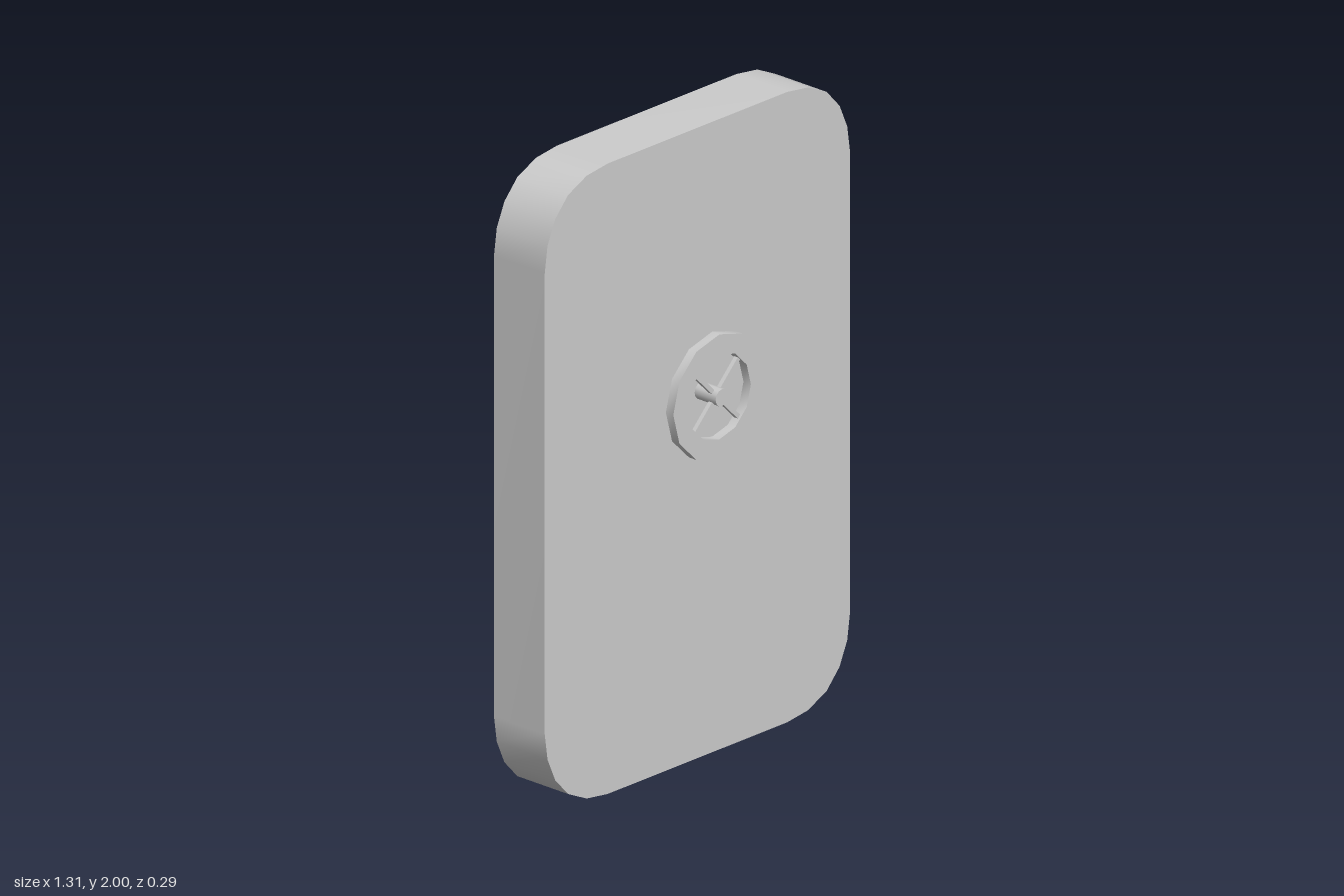
import * as THREE from 'three';
import { toCreasedNormals } from 'three/addons/utils/BufferGeometryUtils.js';

const FRONT = 0.06, BACK = -0.145;
const WHEEL = { x: 0.015, y: 1.163, z: 0.12, depth: 0.03, outer: 0.198, inner: 0.135 };

// Rounded outline, counter-clockwise, from one corner mirrored to all four
function doorOutline() {
  const corner = [[0.655, 0.73], [0.643, 0.815], [0.61, 0.89], [0.555, 0.95], [0.475, 0.988], [0.385, 1]];
  const back = [...corner].reverse();
  const place = (pts, sx, sy) => pts.map(([x, y]) => new THREE.Vector2(sx * x, 1 + sy * y));
  return [...place(corner, 1, 1), ...place(back, -1, 1), ...place(corner, -1, -1), ...place(back, 1, -1)];
}

// Open wall swept from the front edge to the back rim
function wallGeometry(outline) {
  const n = outline.length, pos = [], idx = [];
  for (const z of [FRONT, BACK]) for (const p of outline) pos.push(p.x, p.y, z);
  for (let i = 0; i < n; i++) {
    const j = (i + 1) % n;
    idx.push(i, n + i, n + j, i, n + j, j);
  }
  const g = new THREE.BufferGeometry();
  g.setAttribute('position', new THREE.Float32BufferAttribute(pos, 3));
  g.setIndex(idx);
  g.computeVertexNormals();
  return g;
}

const ringPoints = (r, n) => Array.from({ length: n }, (_, i) => {
  const a = (i / n) * Math.PI * 2;
  return new THREE.Vector2(Math.cos(a) * r, Math.sin(a) * r);
});

export function createModel() {
  const model = new THREE.Group();
  const solid = new THREE.MeshStandardMaterial({ color: 0xcccccc });
  const thin = new THREE.MeshStandardMaterial({ color: 0xcccccc, side: THREE.DoubleSide });
  const add = (parent, name, geometry, material = solid) => {
    const mesh = new THREE.Mesh(geometry, material);
    mesh.name = name;
    parent.add(mesh);
    return mesh;
  };

  // Hollow door: front panel and surrounding wall, open at the back
  const door = new THREE.Group();
  door.name = 'door';
  model.add(door);
  const outline = doorOutline();
  add(door, 'frontPanel', new THREE.ShapeGeometry(new THREE.Shape(outline)), thin).position.z = FRONT;
  add(door, 'sideWall', wallGeometry(outline), thin);

  // Hand wheel
  const wheel = new THREE.Group();
  wheel.name = 'handWheel';
  wheel.position.set(WHEEL.x, WHEEL.y, WHEEL.z);
  model.add(wheel);

  // Twelve-sided flat rim
  const rim = new THREE.Shape(ringPoints(WHEEL.outer, 12));
  rim.holes.push(new THREE.Path(ringPoints(WHEEL.inner, 12)));
  const rimGeometry = new THREE.ExtrudeGeometry(rim, { depth: WHEEL.depth, bevelEnabled: false });
  rimGeometry.translate(0, 0, -WHEEL.depth / 2);
  add(wheel, 'wheelRim', toCreasedNormals(rimGeometry, 0.6));

  // Crossed spokes
  for (const angle of [Math.PI / 4, -Math.PI / 4]) {
    const spoke = add(wheel, 'spoke', new THREE.BoxGeometry(WHEEL.inner * 2, 0.014, 0.014));
    spoke.rotation.z = angle;
  }

  // Axle passing through the panel
  const axle = add(wheel, 'axle', new THREE.CylinderGeometry(0.027, 0.027, 0.145, 12));
  axle.rotation.x = Math.PI / 2;
  axle.position.z = 0.0725 - WHEEL.z;

  return model;
}
